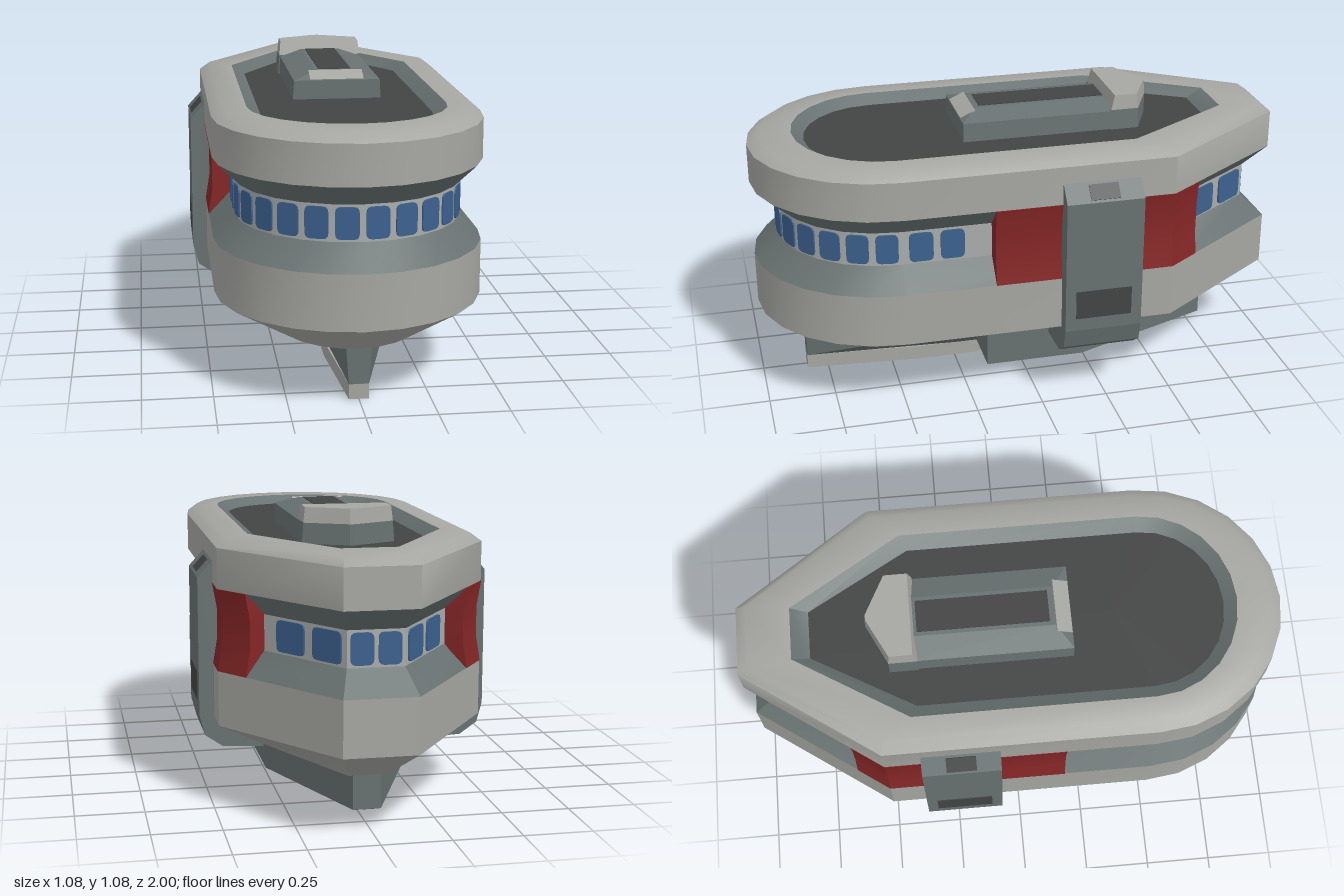
import * as THREE from 'three';
import { toCreasedNormals } from 'three/addons/utils/BufferGeometryUtils.js';

const mat = (name, color) => Object.assign(new THREE.MeshStandardMaterial({ color }), { name });

// Closed loft: each ring is { y, pts: [[x, z], ...] }, listed from the bottom up
function loft(rings, capBottom = true, capTop = true, crease = 0.5) {
  const pos = [], idx = [], n = rings[0].pts.length;
  rings.forEach(r => r.pts.forEach(([x, z]) => pos.push(x, r.y, z)));
  for (let i = 0; i < rings.length - 1; i++) {
    for (let j = 0; j < n; j++) {
      const a = i * n + j, b = i * n + (j + 1) % n;
      idx.push(a, b, b + n, a, b + n, a + n);
    }
  }
  const cap = (i, up) => {
    const c = pos.length / 3;
    const sum = rings[i].pts.reduce((s, p) => [s[0] + p[0] / n, s[1] + p[1] / n], [0, 0]);
    pos.push(sum[0], rings[i].y, sum[1]);
    for (let j = 0; j < n; j++) {
      const a = i * n + j, b = i * n + (j + 1) % n;
      if (up) idx.push(c, a, b); else idx.push(c, b, a);
    }
  };
  if (capBottom) cap(0, false);
  if (capTop) cap(rings.length - 1, true);
  const g = new THREE.BufferGeometry();
  g.setAttribute('position', new THREE.Float32BufferAttribute(pos, 3));
  g.setIndex(idx);
  return toCreasedNormals(g, crease);
}

// Hull plan: round front, straight sides, tapered flat-ended back
const ARC = 12;
function plan(w, front, corner, back, backW) {
  const p = [];
  for (let i = 0; i <= ARC; i++) {
    const a = (i / ARC - 0.5) * Math.PI;
    p.push([w * Math.sin(a), 0.5 + (front - 0.5) * Math.cos(a)]);
  }
  return p.concat([[w, corner], [backW, back], [-backW, back], [-w, corner]]);
}
const level = (y, ...args) => ({ y, pts: plan(...args) });
const mirror = pts => pts.map(([x, z]) => [-x, z]).reverse();
// Full outline from its +x half, listed front to back
const both = half => half.concat(mirror(half));

export function createModel() {
  const model = new THREE.Group();
  const light = mat('light grey hull', 0xa6a6a2);
  const mid = mat('mid grey metal', 0x687171);
  const dark = mat('dark grey', 0x434444);
  const red = mat('dark red', 0x852626);
  const blue = mat('window blue', 0x3c618f);
  const pale = mat('pale window frame', 0xa9adab);

  const add = (name, geo, material, parent = model) => {
    const m = new THREE.Mesh(geo, material);
    m.name = name;
    parent.add(m);
    return m;
  };

  // Hull layers
  const full = [0.48, 1, -0.5, -1, 0.13];
  const waist = [0.4, 0.91, -0.47, -0.91, 0.1];
  const rimOut = [0.44, 0.955, -0.49, -0.96, 0.12];
  const rimIn = [0.355, 0.835, -0.385, -0.8, 0.1];
  const deck = [0.305, 0.79, -0.36, -0.735, 0.09];
  add('lowerHull', loft([level(0.185, 0.27, 0.83, -0.4, -0.8, 0.07),
    level(0.305, ...full), level(0.505, ...full)], true, false), light);
  add('lowerBevel', loft([level(0.505, ...full), level(0.59, ...waist)], false, false), mid);
  add('windowBand', loft([level(0.59, ...waist), level(0.72, ...waist)], false, false), pale);
  add('upperBevel', loft([level(0.72, ...waist), level(0.8, ...full)], false, false), mid);
  add('upperHull', loft([level(0.8, ...full), level(0.945, ...full),
    level(0.975, ...rimOut), level(0.977, ...rimIn)], false, false, 0.9), light);
  add('rimInnerSlope', loft([level(0.977, ...rimIn), level(0.945, ...deck)], false, false), mid);
  add('topDeck', loft([level(0.93, ...deck), level(0.945, ...deck)], false, true), dark);

  // Windows: thin rounded panes on the facets of the waist
  const pane = (w, h = 0.112, r = 0.02) => {
    const s = new THREE.Shape(), x = w / 2, y = h / 2;
    s.moveTo(-x + r, -y);
    s.lineTo(x - r, -y); s.quadraticCurveTo(x, -y, x, -y + r);
    s.lineTo(x, y - r); s.quadraticCurveTo(x, y, x - r, y);
    s.lineTo(-x + r, y); s.quadraticCurveTo(-x, y, -x, y - r);
    s.lineTo(-x, -y + r); s.quadraticCurveTo(-x, -y, -x + r, -y);
    return new THREE.ExtrudeGeometry(s, { depth: 0.006, bevelEnabled: false, curveSegments: 3 });
  };
  const windows = new THREE.Group();
  windows.name = 'windows';
  model.add(windows);
  const addPane = (a, b, t, w) => {
    const m = add('window', pane(w), blue, windows);
    m.position.set(a[0] + (b[0] - a[0]) * t, 0.655, a[1] + (b[1] - a[1]) * t);
    m.rotation.y = Math.atan2(a[1] - b[1], b[0] - a[0]);
  };
  const path = plan(...waist);
  for (let i = 0; i < ARC; i++) addPane(path[i], path[i + 1], 0.5, 0.082);
  const [sideFront, corner, back, backR, cornerR] = path.slice(ARC);
  for (const z of [0.43, 0.315]) {
    const t = (0.5 - z) / (0.5 + 0.47);
    addPane(sideFront, corner, t, 0.088);
    addPane(cornerR, path[0], 1 - t, 0.088);
  }
  for (const t of [0.5, 0.83]) {
    addPane(corner, back, t, 0.135);
    addPane(backR, cornerR, 1 - t, 0.135);
  }
  for (const t of [0.26, 0.74]) addPane(back, backR, t, 0.08);

  // Side pieces: red panels with a concave face, and clamps around the hull
  const panelRing = d => [[0.482 - d, 0.17], [0.482 - d, -0.5], [0.398 - d, -0.62], [0.3, -0.56], [0.34, 0.17]];
  const clampProfile = [[0.45, 0.9], [0.48, 0.88], [0.535, 0.82], [0.535, 0.31],
    [0.515, 0.235], [0.45, 0.19], [0.3, 0.183], [0.3, 0.21], [0.45, 0.32]];
  for (const s of [1, -1]) {
    const side = s > 0 ? 'left' : 'right';
    add(side + 'RedPanel', loft([[0.505, 0], [0.6, 0.016], [0.71, 0.016], [0.8, 0]]
      .map(([y, d]) => ({ y, pts: s > 0 ? panelRing(d) : mirror(panelRing(d)) }))), red);
    const shape = new THREE.Shape(clampProfile.map(([x, y]) => new THREE.Vector2(s * x, y)));
    const clamp = new THREE.ExtrudeGeometry(shape, { depth: 0.29, bevelEnabled: false });
    add(side + 'Clamp', clamp, mid).position.z = -0.365;
    add(side + 'ClampPlate', new THREE.BoxGeometry(0.006, 0.11, 0.21), dark)
      .position.set(s * 0.535, 0.415, -0.22);
    const tab = add(side + 'ClampTopPlate', new THREE.BoxGeometry(0.006, 0.06, 0.11), dark);
    tab.position.set(s * 0.508, 0.85, -0.22);
    tab.rotation.z = s * 0.74;
  }

  // Roof housing with its front slope, dark inset and raised rear block
  const box = (x, zf, zb) => [[x, zf], [x, zb], [-x, zb], [-x, zf]];
  add('roofHousing', loft([{ y: 0.93, pts: box(0.165, 0.22, -0.4) },
    { y: 1.015, pts: box(0.16, 0.22, -0.4) }, { y: 1.043, pts: box(0.075, 0.16, -0.4) }], true, true, 0.1), mid);
  add('roofInset', new THREE.BoxGeometry(0.12, 0.006, 0.48), dark).position.set(0, 1.043, -0.1);
  const slope = add('roofFrontSlope', new THREE.BoxGeometry(0.2, 0.006, 0.062), light);
  slope.position.set(0, 1.029, 0.19);
  slope.rotation.x = 0.437;
  const rear = (x, zf, zm, zb) => both([[x, zf], [x, zm], [0.01, zb]]);
  add('roofRearBlockBase', loft([{ y: 0.93, pts: rear(0.17, -0.345, -0.45, -0.525) },
    { y: 1.02, pts: rear(0.163, -0.345, -0.45, -0.525) }], true, false, 0.1), mid);
  add('roofRearBlockTop', loft([{ y: 1.02, pts: rear(0.163, -0.345, -0.45, -0.525) },
    { y: 1.075, pts: rear(0.157, -0.36, -0.445, -0.52) }], false, true, 0.1), light);

  // Pod under the rear, with a red hatch below
  const pod = both([[0.27, 0.16], [0.27, -0.22], [0.05, -0.78]]);
  add('bellyPod', loft([{ y: 0.055, pts: pod }, { y: 0.19, pts: pod }], true, true, 0.1), mid);
  const plate = both([[0.262, 0.152], [0.262, -0.22], [0.046, -0.77]]);
  add('bellyPlate', loft([{ y: 0.051, pts: plate }, { y: 0.057, pts: plate }], true, true, 0.1), dark);
  const hatch = both([[0.16, -0.04], [0.16, -0.3], [0.11, -0.38]]);
  add('bellyHatch', loft([{ y: 0.046, pts: hatch }, { y: 0.053, pts: hatch }], true, true, 0.1), red);

  // Keel: flared fin above, narrow runner below
  const fin = (f, m, zm, zb) => both([[f, 0.83], [m, zm], [m, zb]]);
  add('keelFin', loft([{ y: 0.055, pts: fin(0.035, 0.07, 0.25, 0.1) },
    { y: 0.19, pts: fin(0.045, 0.22, 0.25, 0.1) }], true, true, 0.1), mid);
  add('keelRunner', loft([{ y: 0, pts: fin(0.035, 0.07, 0.4, 0.16) },
    { y: 0.056, pts: fin(0.035, 0.07, 0.4, 0.03) }], true, true, 0.1), light);
  return model;
}
